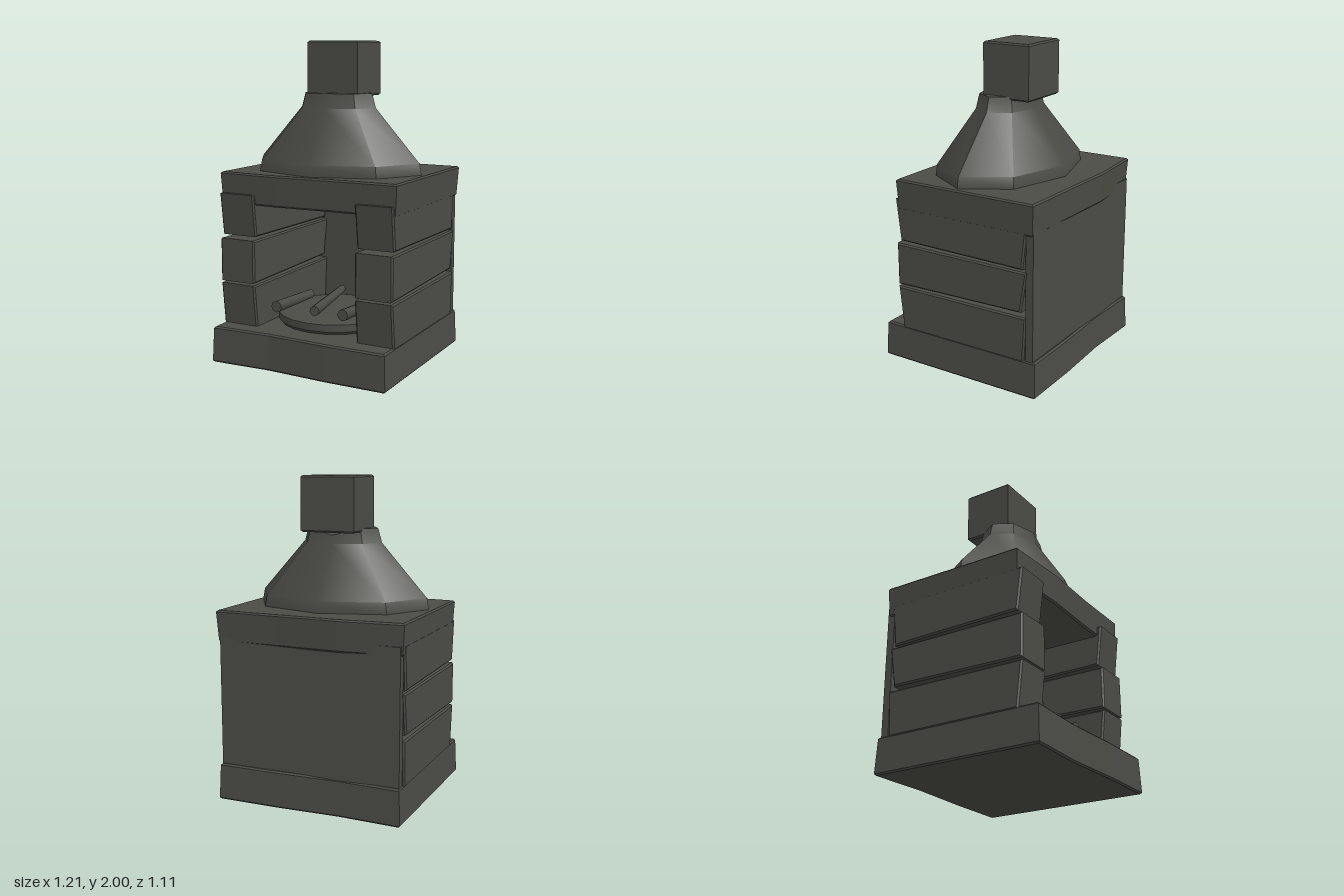
import * as THREE from 'three';
import { toCreasedNormals } from 'three/addons/utils/BufferGeometryUtils.js';

const stone = new THREE.MeshStandardMaterial({ color: 0x4b4c46 });
stone.name = 'dark stone';

// Straight prism with small chamfered edges, from z = 0 to z = depth
function prism(points, depth, b = 0.01) {
  const shape = new THREE.Shape(points.map(([x, y]) => new THREE.Vector2(x, y)));
  const geo = new THREE.ExtrudeGeometry(shape, {
    depth: depth - 2 * b, bevelThickness: b, bevelSize: b, bevelOffset: -b, bevelSegments: 1,
  });
  return geo.translate(0, 0, b);
}

// Slab from a plan outline of [x, z] points, between two heights
function slab(plan, y0, y1, b) {
  return prism(plan.map(([x, z]) => [x, -z]), y1 - y0, b).rotateX(-Math.PI / 2).translate(0, y0, 0);
}

// Block from a side outline of [z, y] points, between two x positions
function block(side, x0, x1) {
  return prism(side.map(([z, y]) => [-z, y]), x1 - x0).rotateY(Math.PI / 2).translate(x0, 0, 0);
}

// Scales the plan of a geometry linearly with height
function taper(geo, y0, y1, s0, s1) {
  const p = geo.attributes.position;
  for (let i = 0; i < p.count; i++) {
    const s = THREE.MathUtils.mapLinear(p.getY(i), y0, y1, s0, s1);
    p.setX(i, p.getX(i) * s);
    p.setZ(i, p.getZ(i) * s);
  }
  geo.computeVertexNormals();
  return geo;
}

export function createModel() {
  const group = new THREE.Group();
  const add = (name, geo, parent = group) => {
    const mesh = new THREE.Mesh(geo, stone);
    mesh.name = name;
    parent.add(mesh);
    return mesh;
  };

  // Hearth base with wavy front and back
  add('base', taper(slab([
    [-0.6, 0.555], [-0.2, 0.537], [0.2, 0.555], [0.6, 0.555],
    [0.6, -0.555], [0.2, -0.555], [-0.2, -0.54], [-0.6, -0.555],
  ], 0, 0.23), 0, 0.23, 1, 0.985));

  // Side walls of three uneven blocks each
  const blocks = [
    [[0.42, 0.215], [0.45, 0.495], [-0.485, 0.5], [-0.47, 0.215]],
    [[0.45, 0.508], [0.45, 0.78], [-0.49, 0.778], [-0.45, 0.525]],
    [[0.42, 0.8], [0.452, 1.065], [-0.49, 1.065], [-0.46, 0.79]],
  ];
  for (const side of [-1, 1]) {
    const wall = new THREE.Group();
    wall.name = side > 0 ? 'leftWall' : 'rightWall';
    for (const outline of blocks) {
      add('wallBlock', side > 0 ? block(outline, 0.347, 0.593) : block(outline, -0.597, -0.35), wall);
    }
    group.add(wall);
  }

  // Back wall
  add('backWall', new THREE.BoxGeometry(1.17, 0.86, 0.05).translate(0, 0.63, -0.505));

  // Lintel slab over the opening
  add('lintel', taper(slab([
    [-0.605, 0.425], [-0.2, 0.445], [0.2, 0.43], [0.605, 0.43],
    [0.605, -0.538], [0.2, -0.545], [-0.2, -0.555], [-0.605, -0.525],
  ], 1.0, 1.195), 1.0, 1.195, 0.98, 1));

  // Eight-sided oval hood, its top dipping at the back
  const profile = [[0.57, 1.18], [0.57, 1.2], [0.557, 1.265], [0.262, 1.59], [0.235, 1.68], [0, 1.68]];
  const hood = new THREE.LatheGeometry(profile.map(([r, y]) => new THREE.Vector2(r, y)), 8).scale(1, 1, 0.7);
  const p = hood.attributes.position;
  for (let i = 0; i < p.count; i++) {
    if (p.getY(i) > 1.65 && p.getZ(i) < -0.15) p.setXYZ(i, 0, 1.64, -0.172);
  }
  add('hood', toCreasedNormals(hood, 0.68));

  // Chimney block, set towards the back
  add('chimney', slab([[-0.175, 0.08], [0.175, 0.08], [0.175, -0.24], [-0.175, -0.24]], 1.66, 2));

  // Round fire bed with a slightly raised middle
  const bed = [[0.35, 0.23], [0.37, 0.25], [0.37, 0.295], [0.34, 0.3], [0, 0.325]];
  add('fireBed', toCreasedNormals(
    new THREE.LatheGeometry(bed.map(([r, y]) => new THREE.Vector2(r, y)), 20), 0.6).translate(0, 0, 0.03));

  // Logs, each from a front point to a back point
  const logs = [
    [[-0.25, 0.355, 0.355], [-0.24, 0.345, -0.06], 0.037],
    [[0.01, 0.355, 0.33], [-0.09, 0.36, -0.22], 0.032],
    [[0.205, 0.355, 0.33], [0.23, 0.345, -0.1], 0.037],
  ];
  for (const [from, to, r] of logs) {
    const a = new THREE.Vector3(...from), b = new THREE.Vector3(...to);
    const dir = b.clone().sub(a);
    const log = add('log', toCreasedNormals(new THREE.CylinderGeometry(r * 0.8, r, dir.length(), 8), 0.9));
    log.position.copy(a).add(b).multiplyScalar(0.5);
    log.quaternion.setFromUnitVectors(new THREE.Vector3(0, 1, 0), dir.normalize());
  }

  return group;
}
